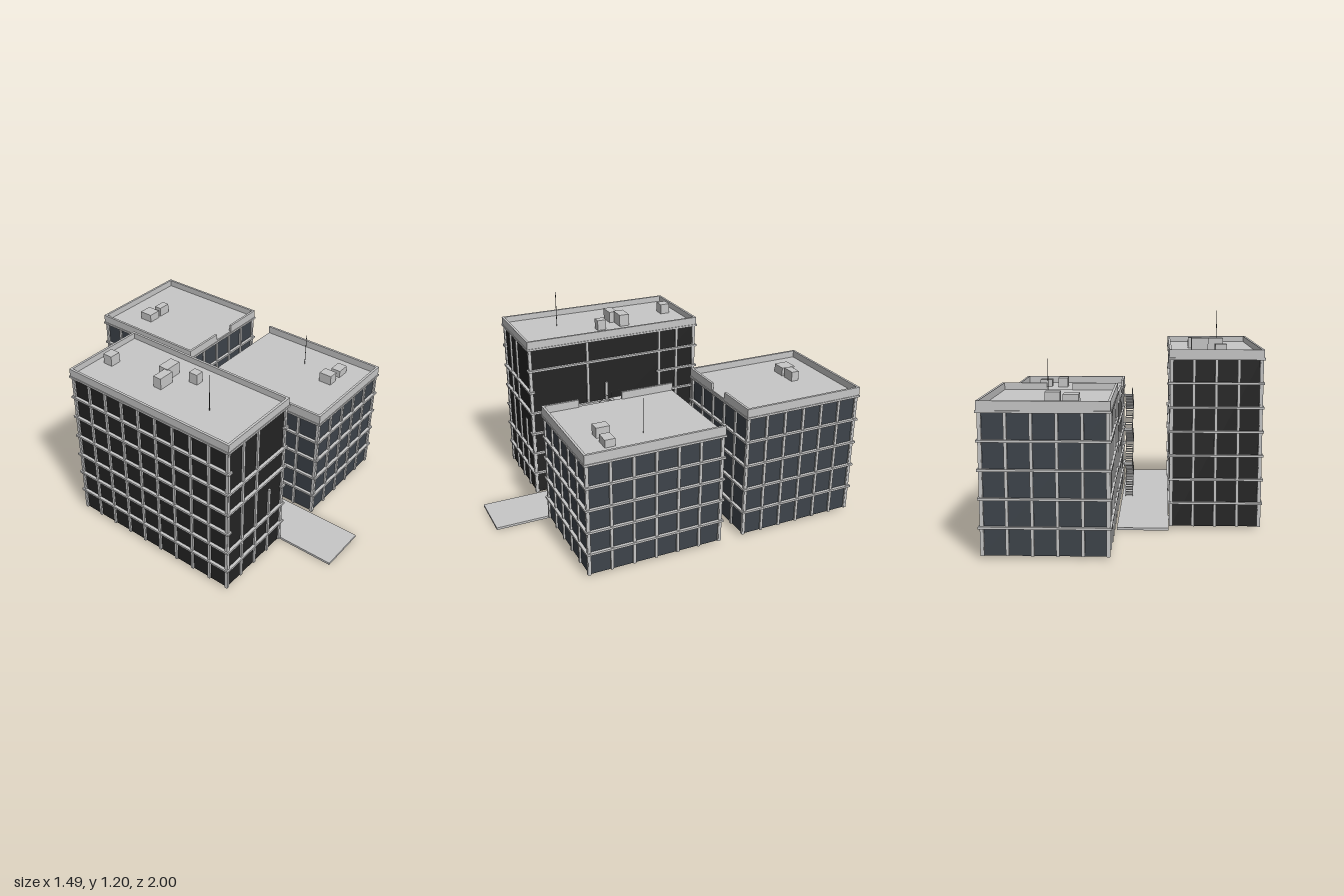
import * as THREE from 'three';

const BASE = 0.015;

export function createModel() {
  const root = new THREE.Group();
  const mat = (name, color) => {
    const m = new THREE.MeshStandardMaterial({ color });
    m.name = name;
    return m;
  };
  const concrete = mat('light concrete', 0xc6c6c6);
  const blackGlass = mat('black glass', 0x232323);
  const slateGlass = mat('slate glass', 0x3d434a);
  const steel = mat('grey steel', 0x8a8a8a);
  const darkSteel = mat('dark steel', 0x505050);

  // Box given by its lower and upper bounds on each axis
  const box = (parent, name, m, [x0, x1], [y0, y1], [z0, z1]) => {
    const mesh = new THREE.Mesh(new THREE.BoxGeometry(x1 - x0, y1 - y0, z1 - z0), m);
    mesh.position.set((x0 + x1) / 2, (y0 + y1) / 2, (z0 + z1) / 2);
    mesh.name = name;
    parent.add(mesh);
    return mesh;
  };

  // Office block: glass core, grid of mullions and floor bands, flat roof with parapet
  function building(o) {
    const g = new THREE.Group();
    g.name = o.name;
    root.add(g);
    const [x0, x1] = o.x, [z0, z1] = o.z;
    const inset = 0.014, wall = 0.014;
    const core = { x: [x0 + inset, x1 - inset], z: [z0 + inset, z1 - inset] };
    const floorHeight = (o.roof - BASE) / o.floors;
    box(g, 'glassCore', o.glass, core.x, [BASE, o.roof], core.z);
    box(g, 'roofSlab', concrete, [x0 + 0.002, x1 - 0.002], [o.roof, o.roof + 0.015], [z0 + 0.002, z1 - 0.002]);

    const sides = [
      { id: 'front', axis: 'x', at: core.z[1], edge: z1 - wall },
      { id: 'back', axis: 'x', at: core.z[0], edge: z0 },
      { id: 'left', axis: 'z', at: core.x[1], edge: x1 - wall },
      { id: 'right', axis: 'z', at: core.x[0], edge: x0 },
    ];
    for (const s of sides) {
      const alongX = s.axis === 'x';
      const [a, b] = core[s.axis];
      const bays = alongX ? o.baysX : o.baysZ;
      const at = (i) => a + ((b - a) * i) / bays;
      // place a strip spanning u along the side, v across it
      const strip = (name, u, y, v) => box(g, name, concrete, alongX ? u : v, y, alongX ? v : u);
      const tops = (o.mullionTops || {})[s.id] || {};
      const spans = (o.bandSpans || {})[s.id] || {};

      for (let i = 0; i <= bays; i++) {
        const top = i in tops ? tops[i] : o.roof;
        if (top > 0) strip('mullion', [at(i) - 0.008, at(i) + 0.008], [BASE, top], [s.at - 0.01, s.at + 0.01]);
      }
      for (let k = 1; k <= o.floors; k++) {
        const span = k in spans ? spans[k] : [0, bays];
        if (!span) continue;
        const y = BASE + floorHeight * k;
        strip('floorBand', [at(span[0]) - 0.018, at(span[1]) + 0.018], [y - 0.006, y + 0.006], [s.at - 0.018, s.at + 0.018]);
      }
      // parapet pieces, with optional gaps
      const full = alongX ? o.x : o.z;
      const pieces = (o.parapets || {})[s.id] || [full];
      for (const u of pieces) strip('parapet', u, [o.roof, o.top], [s.edge, s.edge + wall]);
    }

    // rooftop machinery and mast
    for (const [bx, bz, h] of o.units) box(g, 'rooftopUnit', concrete, bx, [o.roof + 0.014, h], bz);
    if (o.mast) {
      const [mx, mz, h] = o.mast;
      const len = h - o.roof;
      const mast = new THREE.Mesh(new THREE.CylinderGeometry(0.002, 0.002, len, 6), darkSteel);
      mast.name = 'antennaMast';
      mast.position.set(mx, o.roof + len / 2, mz);
      g.add(mast);
    }
  }

  building({
    name: 'tallBlackBlock', glass: blackGlass,
    x: [-0.743, -0.22], z: [-0.445, 0.666], roof: 0.967, top: 1.018,
    floors: 7, baysX: 4, baysZ: 9,
    mullionTops: { front: { 3: 0.475 }, left: { 3: 0, 4: 0, 5: 0.68, 7: 0.31, 8: 0 } },
    bandSpans: {
      front: { 3: null, 6: null },
      left: { 2: [5, 9], 3: [6, 9], 5: [0, 2] },
    },
    units: [
      [[-0.54, -0.475], [-0.38, -0.32], 1.043],
      [[-0.455, -0.355], [-0.04, 0.022], 1.054],
      [[-0.545, -0.448], [0, 0.052], 1.05],
      [[-0.39, -0.34], [0.12, 0.175], 1.045],
    ],
    mast: [-0.53, 0.375, 1.2],
  });

  building({
    name: 'frontSlateBlock', glass: slateGlass,
    x: [0.072, 0.74], z: [-0.128, 0.69], roof: 0.68, top: 0.74,
    floors: 5, baysX: 5, baysZ: 6,
    parapets: { right: [[-0.128, 0.2], [0.47, 0.69]], back: [] },
    units: [
      [[0.44, 0.502], [0.45, 0.53], 0.755],
      [[0.545, 0.625], [0.47, 0.53], 0.74],
    ],
    mast: [0.548, 0.275, 0.9],
  });

  building({
    name: 'rearSlateBlock', glass: slateGlass,
    x: [0.072, 0.74], z: [-1, -0.258], roof: 0.755, top: 0.81,
    floors: 5, baysX: 5, baysZ: 6,
    parapets: { front: [[0.072, 0.333], [0.48, 0.74]] },
    units: [
      [[0.245, 0.327], [-0.83, -0.745], 0.82],
      [[0.345, 0.425], [-0.795, -0.748], 0.828],
    ],
  });

  // Paved walkway between the blocks
  box(root, 'walkway', concrete, [-0.222, 0.07], [0, 0.014], [-0.478, 1]);

  // Zigzag fire escape on the inner wall of the front block
  const stair = new THREE.Group();
  stair.name = 'fireEscape';
  root.add(stair);
  const flights = 6, steps = 9, rise = (0.68 - BASE) / flights;
  const zA = 0.23, zB = 0.39;
  for (let f = 0; f < flights; f++) {
    const y0 = BASE + f * rise;
    const up = f % 2 === 0;
    const from = up ? zA : zB, to = up ? zB : zA;
    for (let i = 0; i < steps; i++) {
      const t = (i + 0.5) / steps;
      const z = from + (to - from) * t, y = y0 + rise * t;
      box(stair, 'step', concrete, [0.004, 0.05], [y - 0.003, y + 0.003], [z - 0.009, z + 0.009]);
    }
    // landing at the head of each flight
    const lz = up ? [zB, 0.455] : [0.17, zA];
    box(stair, 'landing', concrete, [0.002, 0.056], [y0 + rise - 0.008, y0 + rise], lz);
    // sloping stringers and handrail
    const len = Math.hypot(zB - zA, rise);
    for (const [x, lift] of [[0.004, 0], [0.05, 0], [0.004, 0.04]]) {
      const bar = new THREE.Mesh(new THREE.BoxGeometry(0.003, lift ? 0.003 : 0.008, len), steel);
      bar.name = lift ? 'handrail' : 'stringer';
      bar.position.set(x, y0 + rise / 2 + lift, (zA + zB) / 2);
      bar.rotation.x = (up ? -1 : 1) * Math.atan2(rise, zB - zA);
      stair.add(bar);
    }
    for (const z of lz) box(stair, 'railPost', steel, [0.002, 0.005], [y0 + rise, y0 + rise + 0.04], [z - 0.0015, z + 0.0015]);
    box(stair, 'landingRail', steel, [0.002, 0.005], [y0 + rise + 0.038, y0 + rise + 0.041], lz);
  }

  return root;
}
